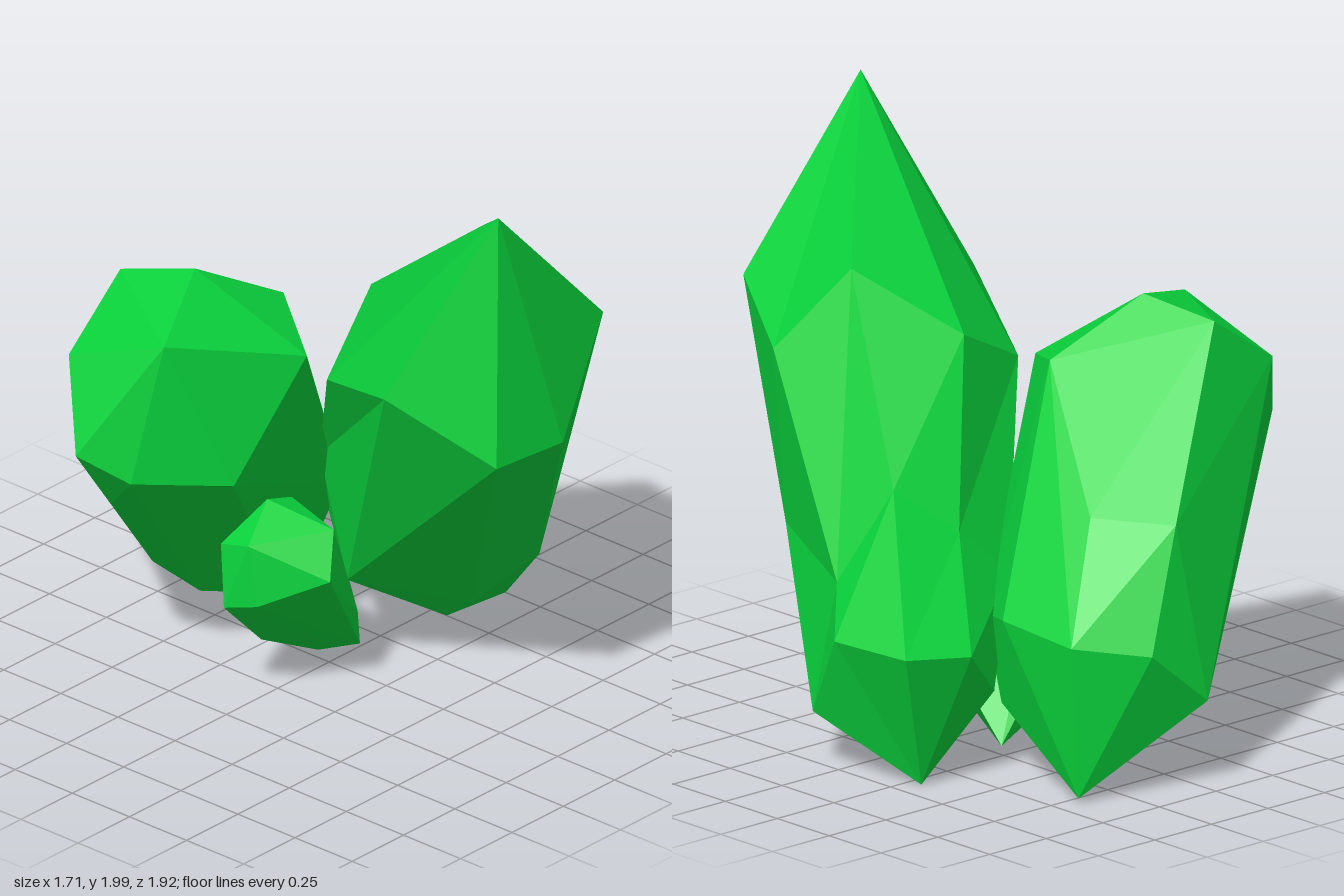
import * as THREE from 'three';
import { ConvexGeometry } from 'three/addons/geometries/ConvexGeometry.js';

const green = new THREE.MeshStandardMaterial({ color: 0x0ad23c });
green.name = 'crystal green';

// A faceted crystal: the flat-sided hull around its rings of corners
function hullCrystal(name, ...rings) {
  const corners = rings.flat().map((p) => new THREE.Vector3(...p));
  const mesh = new THREE.Mesh(new ConvexGeometry(corners), green);
  mesh.name = name;
  return mesh;
}

// A faceted crystal with a pinched waist: rings of corners joined from tip to foot
function loftCrystal(name, tip, rings, foot) {
  const sides = rings[0].length;
  const all = [Array(sides).fill(tip), ...rings, Array(sides).fill(foot)];
  const positions = [];
  const addFace = (a, b, c) => {
    if (a !== b && b !== c && c !== a) positions.push(...a, ...b, ...c);
  };
  for (let r = 0; r + 1 < all.length; r++) {
    for (let i = 0; i < sides; i++) {
      const j = (i + 1) % sides;
      addFace(all[r][i], all[r + 1][i], all[r][j]);
      addFace(all[r][j], all[r + 1][i], all[r + 1][j]);
    }
  }
  const geometry = new THREE.BufferGeometry();
  geometry.setAttribute('position', new THREE.Float32BufferAttribute(positions, 3));
  geometry.computeVertexNormals();
  const mesh = new THREE.Mesh(geometry, green);
  mesh.name = name;
  return mesh;
}

export function createModel() {
  const group = new THREE.Group();
  group.name = 'crystalCluster';

  // Tall crystal leaning forward: shoulder, pinched waist and lower ring
  const underside = [0.35, 0.115, 0.2];
  group.add(loftCrystal('largeCrystal', [-0.155, 2, 0.88], [
    [[-0.41, 1.34, 0.61], [-0.23, 1.13, 0.94], [0.07, 1.12, 0.96], [0.4, 1.43, 0.84],
      [0.57, 1.29, 0.51], [0.4, 1.57, 0.32], [0.15, 1.355, 0.05], [-0.2, 1.18, 0.17]],
    [[-0.045, 0.37, 0.12], [0.28, 0.245, 0.37], [0.345, 0.485, 0.61], [0.515, 0.685, 0.51],
      [0.73, 0.64, 0.03], [0.59, 0.95, -0.09], [0.41, 0.8, -0.21], [0.2, 0.62, -0.22]],
    [underside, underside, [0.515, 0.175, 0.31], [0.79, 0.2, 0.08],
      [0.85, 0.49, -0.09], [0.82, 0.49, -0.4], [0.58, 0.465, -0.455], [0.42, 0.3, -0.39]],
  ], [0.66, 0.01, -0.3]));

  // Blunt crystal leaning to the side at the back: crown, shoulders, underside, foot
  group.add(hullCrystal('mediumCrystal',
    [[-0.855, 0.975, -0.34], [-0.665, 1.375, -0.125], [-0.325, 1.475, -0.295], [-0.41, 1.42, -0.545]],
    [[-0.7, 1.23, -0.51], [-0.755, 0.885, -0.19], [-0.475, 0.84, 0.01], [-0.175, 1.22, 0.06],
      [0, 1.295, -0.2]],
    [[0.04, 0.89, -0.85], [0.22, 0.905, -0.635], [-0.24, 0.65, -0.78], [-0.66, 0.72, -0.36],
      [-0.27, 0.3, -0.53], [-0.15, 0.18, -0.43], [0.29, 0.5, -0.2]],
    [[0.465, 0.55, -0.81], [0.465, 0.57, -0.48], [0.245, 0.51, -0.96], [0, 0.31, -0.96],
      [0.415, 0.025, -0.79], [0.27, 0.045, -0.55], [0.36, 0.24, -0.36], [0.15, 0.09, -0.33]]));

  // Small crystal tucked between them: crown, then foot
  group.add(hullCrystal('smallCrystal',
    [[-0.46, 0.63, 0.06], [-0.29, 0.715, -0.01], [-0.16, 0.67, -0.02], [-0.2, 0.64, 0.2],
      [-0.29, 0.505, 0.265], [-0.45, 0.415, 0.09], [-0.49, 0.39, -0.02], [-0.46, 0.6, -0.06]],
    [[-0.23, 0.15, -0.09], [-0.1, 0.145, 0.01], [0.05, 0.205, 0.08], [0.1, 0.055, 0.045],
      [0.04, 0.01, -0.085], [0.25, 0.15, -0.13], [-0.035, 0.075, -0.12], [0.25, 0.04, -0.24],
      [0, 0.3, -0.2]]));

  return group;
}
